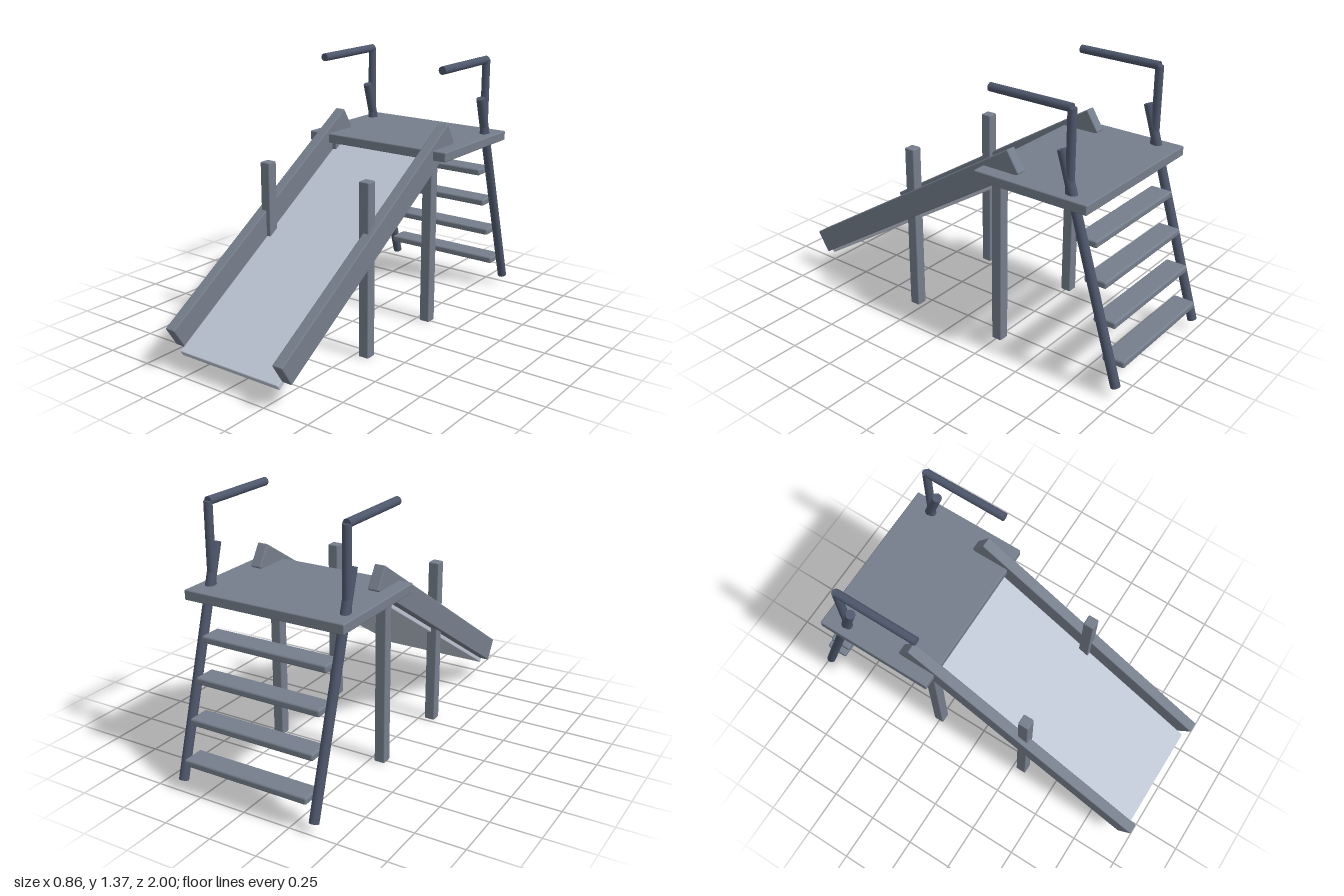
import * as THREE from 'three';
import { RoundedBoxGeometry } from 'three/addons/geometries/RoundedBoxGeometry.js';

const frame = new THREE.MeshStandardMaterial({ color: 0x757e8c });
const tube = new THREE.MeshStandardMaterial({ color: 0x4d566b });
const sheet = new THREE.MeshStandardMaterial({ color: 0xbcc4d2 });

export function createModel() {
  const model = new THREE.Group();
  model.name = 'playgroundSlide';

  // Softly rounded box centred at (x, y, z)
  function box(name, w, h, d, x, y, z, parent = model, material = frame, r = 0.006) {
    const mesh = new THREE.Mesh(new RoundedBoxGeometry(w, h, d, 2, r), material);
    mesh.name = name;
    mesh.position.set(x, y, z);
    parent.add(mesh);
  }

  // Round bar running between two points
  function bar(name, a, b, radius) {
    const from = new THREE.Vector3(...a);
    const to = new THREE.Vector3(...b);
    const dir = to.clone().sub(from);
    const mesh = new THREE.Mesh(new THREE.CylinderGeometry(radius, radius, dir.length(), 20), tube);
    mesh.name = name;
    mesh.position.copy(from).add(to).multiplyScalar(0.5);
    mesh.quaternion.setFromUnitVectors(new THREE.Vector3(0, 1, 0), dir.normalize());
    model.add(mesh);
  }

  // Platform
  box('platform', 0.86, 0.05, 0.625, 0, 0.923, -0.507);

  // Sloping chute: sheet with a raised rail on each side
  const chute = new THREE.Group();
  chute.name = 'chute';
  chute.position.set(0, 0.588, 0.299);
  chute.rotation.x = THREE.MathUtils.degToRad(32.2);
  model.add(chute);
  box('slideSheet', 0.604, 0.032, 1.47, 0, -0.067, 0.086, chute, sheet);

  for (const [side, s] of [['left', 1], ['right', -1]]) {
    box(side + 'SlideRail', 0.057, 0.125, 1.577, s * 0.33, 0, 0, chute);

    // Support posts
    box(side + 'FrontPost', 0.057, 0.895, 0.057, s * 0.306, 0.4475, 0.299);
    box(side + 'BackPost', 0.057, 0.905, 0.057, s * 0.306, 0.4525, -0.254);

    // Ladder stringer and hand rail
    const x = s * 0.368;
    bar(side + 'LadderRail', [x, 0.05, -0.976], [x, 1.146, -0.645], 0.024);
    bar(side + 'HandRailUpright', [x, 0.93, -0.69], [x, 1.347, -0.69], 0.021);
    bar(side + 'HandRailBar', [x, 1.347, -0.247], [x, 1.347, -0.69], 0.021);
  }

  // Ladder steps
  for (let i = 0; i < 4; i++) {
    box('step' + (i + 1), 0.68, 0.036, 0.118, 0, 0.157 + i * 0.188, -0.938 + i * 0.058, model, frame, 0.01);
  }

  return model;
}
